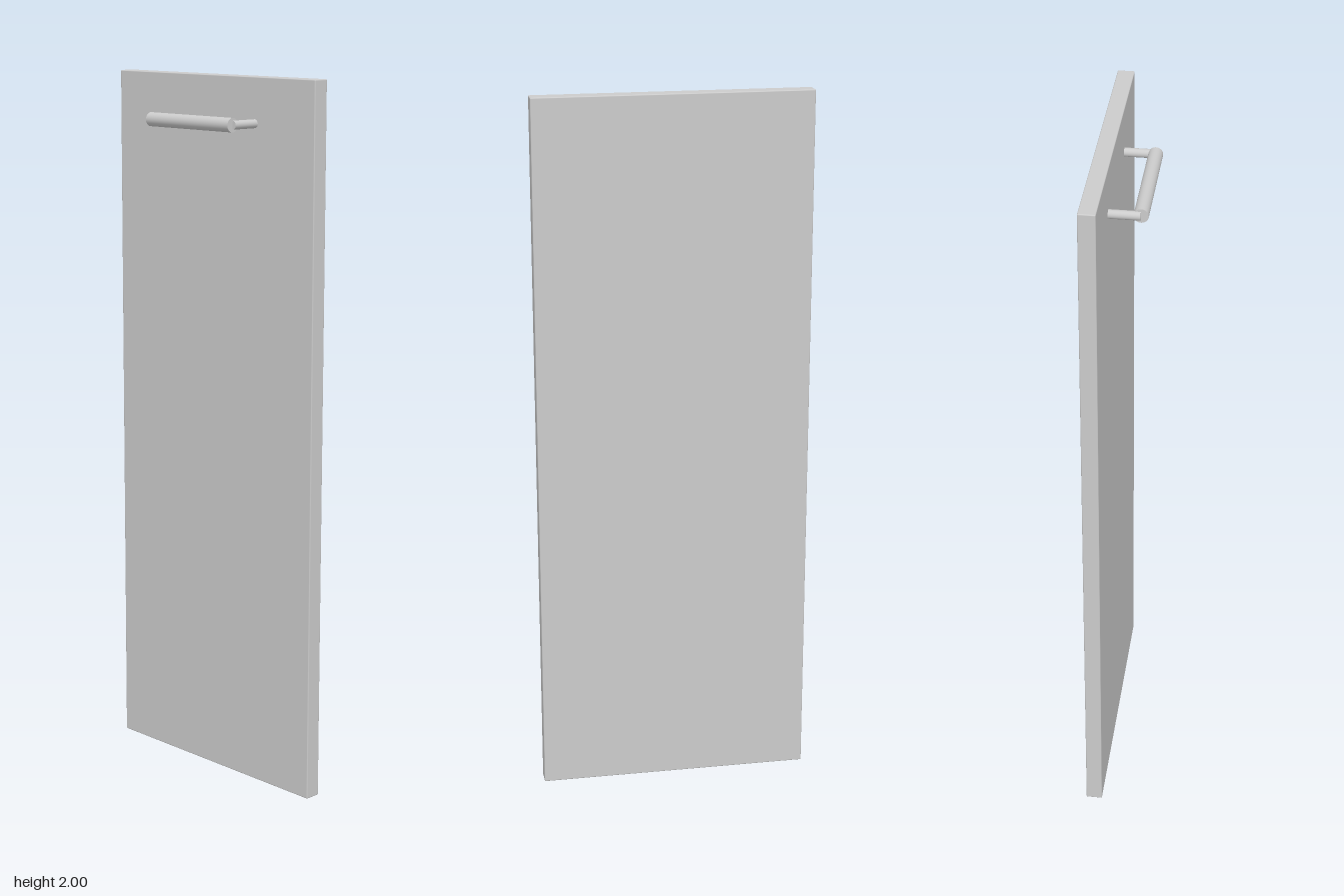
import * as THREE from 'three';
import { RoundedBoxGeometry } from 'three/addons/geometries/RoundedBoxGeometry.js';

const material = new THREE.MeshStandardMaterial({ color: 0xcccccc });

function addPart(parent, name, geometry, x, y, z) {
  const mesh = new THREE.Mesh(geometry, material);
  mesh.name = name;
  mesh.position.set(x, y, z);
  parent.add(mesh);
  return mesh;
}

export function createModel() {
  const model = new THREE.Group();
  model.name = 'cabinetDoor';

  // Flat door panel with slightly eased edges
  addPart(model, 'doorPanel', new RoundedBoxGeometry(0.046, 2, 0.77, 2, 0.003), 0.05, 1, 0);

  // Bar handle near the top of the door
  const handle = new THREE.Group();
  handle.name = 'handle';
  handle.position.y = 1.875;
  model.add(handle);

  const grip = addPart(handle, 'handleBar', new THREE.CylinderGeometry(0.0195, 0.0195, 0.325, 24), -0.0565, 0, 0);
  grip.rotation.x = Math.PI / 2;

  // Two posts joining the bar ends to the panel
  for (const side of [-1, 1]) {
    const post = addPart(handle, side > 0 ? 'frontPost' : 'backPost',
      new THREE.CylinderGeometry(0.012, 0.012, 0.084, 24), -0.014, 0, side * 0.162);
    post.rotation.z = Math.PI / 2;
  }

  return model;
}
